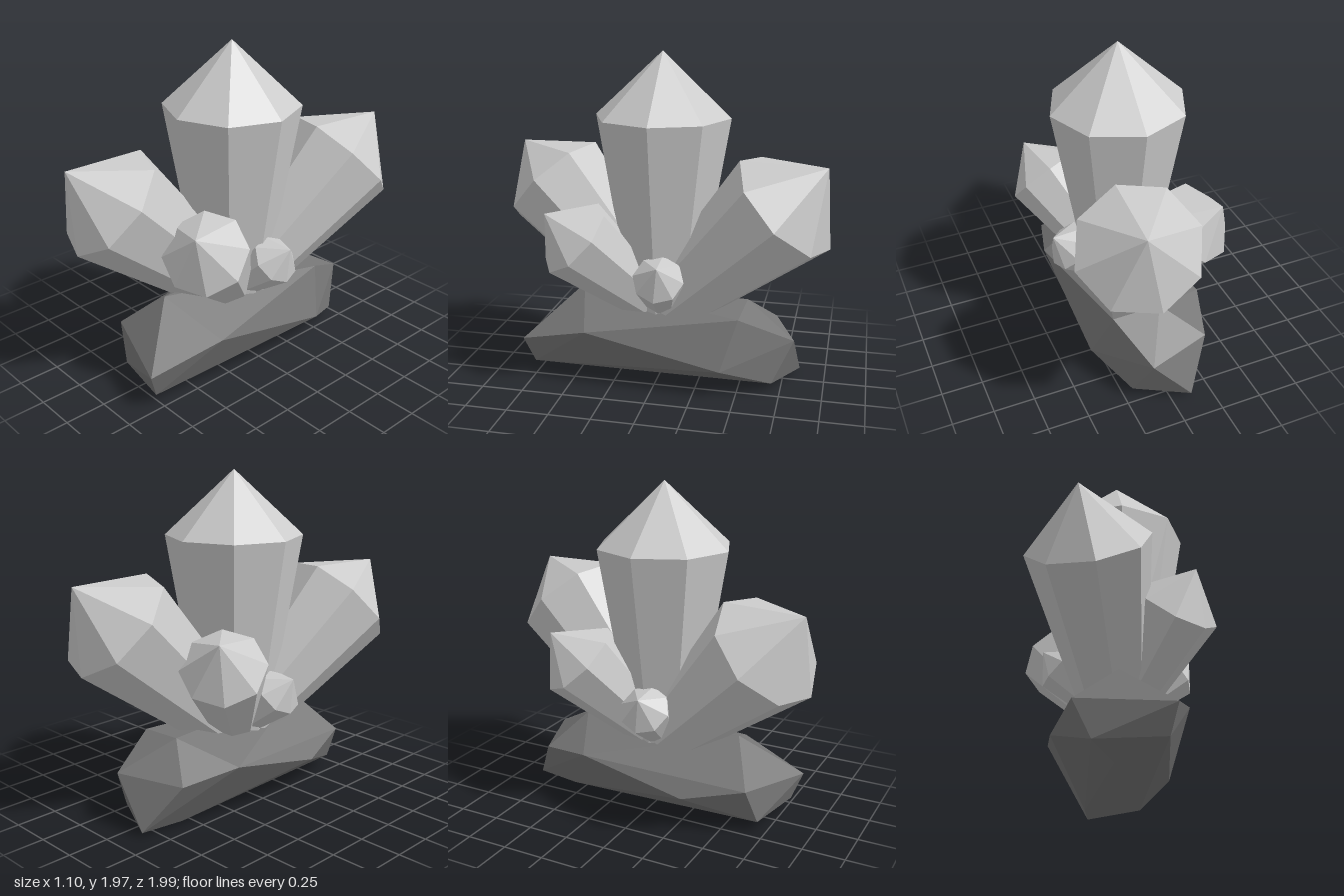
import * as THREE from 'three';
import { ConvexGeometry } from 'three/addons/geometries/ConvexGeometry.js';

export function createModel() {
  const model = new THREE.Group();
  model.name = 'crystalCluster';
  const crystalMat = new THREE.MeshStandardMaterial({ color: 0xcccccc, flatShading: true });
  const rockMat = new THREE.MeshStandardMaterial({ color: 0x777777, flatShading: true });
  const up = new THREE.Vector3(0, 1, 0);

  // Eight-sided crystal: shaft widening to a shoulder, closed by a pointed cap.
  // The shoulder offset is measured from the common root of the cluster.
  function addCrystal(name, x, y, z, radius) {
    const axis = new THREE.Vector3(x, y, z);
    const length = axis.length();
    const tip = length * 0.315;
    const crystal = new THREE.Group();
    crystal.name = name;

    const shaft = new THREE.Mesh(
      new THREE.CylinderGeometry(radius, radius * 0.5, length, 8).translate(0, length / 2, 0), crystalMat);
    shaft.name = name + 'Shaft';
    const cap = new THREE.Mesh(
      new THREE.ConeGeometry(radius, tip, 8, 1, true).translate(0, length + tip / 2, 0), crystalMat);
    cap.name = name + 'Tip';

    crystal.add(shaft, cap);
    crystal.position.set(0, 0.4, 0);
    crystal.quaternion.setFromUnitVectors(up, axis.normalize());
    model.add(crystal);
  }

  addCrystal('mainCrystal', 0, 1.2, 0, 0.405);
  addCrystal('frontCrystal', -0.21, 0.735, 0.735, 0.35);
  addCrystal('backCrystal', 0.193, 0.755, -0.745, 0.36);
  addCrystal('frontLeftCrystal', 0.295, 0.515, 0.465, 0.25);
  addCrystal('backRightCrystal', -0.32, 0.54, -0.405, 0.25);
  addCrystal('smallLeftCrystal', 0.335, 0.31, -0.045, 0.15);
  addCrystal('smallRightCrystal', -0.33, 0.3, 0.04, 0.15);

  // Faceted, elongated base rock
  const corners = [
    [0.24, 0.225, 0.83], [0.2, 0.065, 0.77], [-0.18, 0.065, 0.7], [-0.28, 0.29, 0.66],
    [-0.03, 0.515, 0.51], [0.36, 0.35, 0.4], [0.24, 0.46, -0.5], [0.35, 0.17, -0.41],
    [0.12, 0.31, -0.82], [-0.12, 0.03, -0.845], [-0.28, 0.3, -0.68], [-0.05, 0.485, -0.52],
    [-0.39, 0.355, -0.35], [-0.38, 0.21, 0.3], [-0.05, 0.005, 0.51], [-0.15, 0.02, -0.57],
    [0.2, 0.06, -0.7],
  ].map((c) => new THREE.Vector3(...c));
  const rock = new THREE.Mesh(new ConvexGeometry(corners), rockMat);
  rock.name = 'baseRock';
  model.add(rock);

  return model;
}
